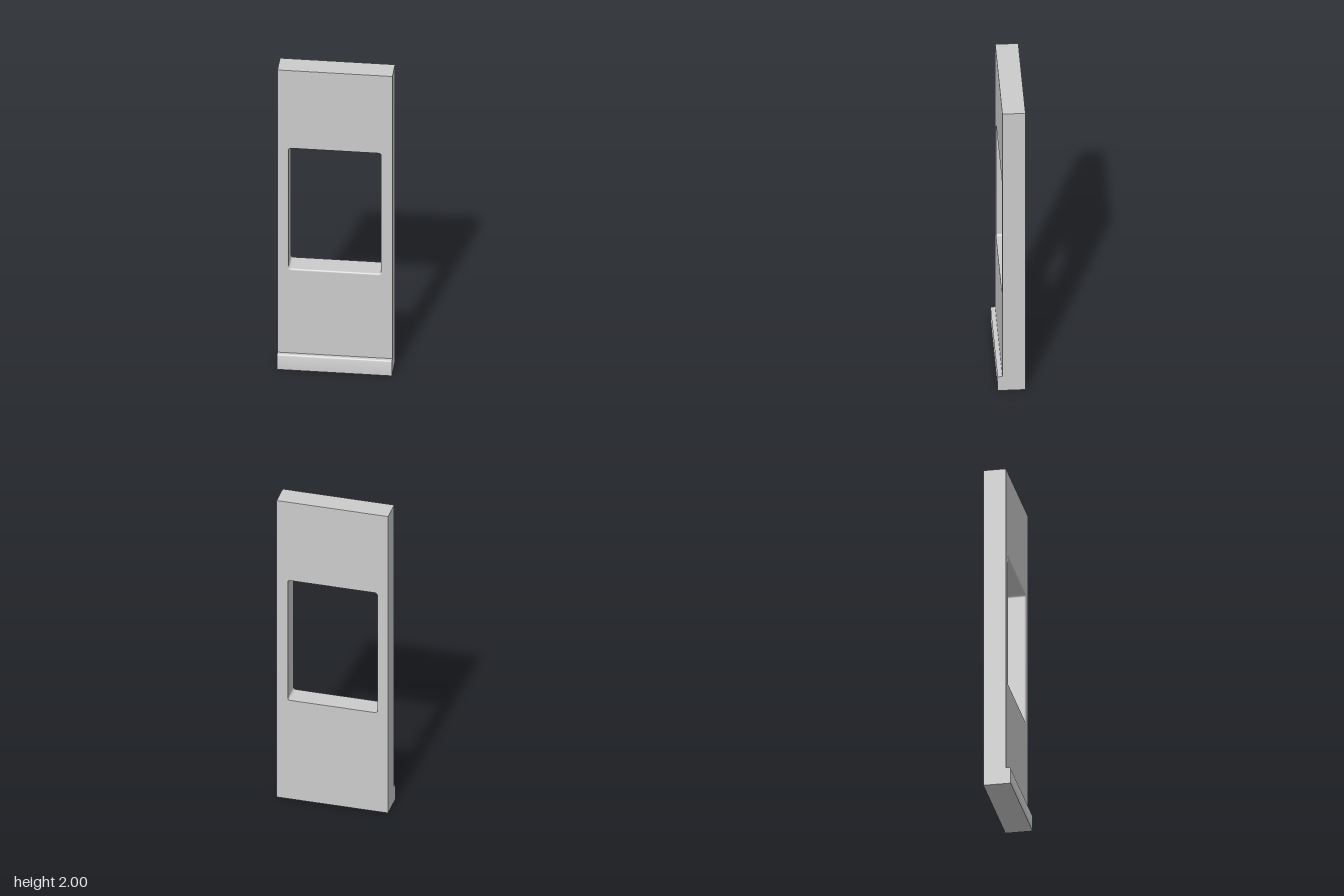
import * as THREE from 'three';
import { toCreasedNormals } from 'three/addons/utils/BufferGeometryUtils.js';

const HALF_W = 0.333, HEIGHT = 2;
const BACK = -0.08, WALL_FRONT = 0.053, FRONT = 0.08;
const OPENING = { x0: -0.269, x1: 0.266, y0: 0.665, y1: 1.473, corner: 0.014 };
const EASE = 0.01;        // radius of the eased front edges
const EASE_STEPS = 5;

// Rounded rectangular outline of the window opening
function openingPath({ x0, x1, y0, y1, corner: r }) {
  const path = new THREE.Path();
  path.absarc(x1 - r, y0 + r, r, -Math.PI / 2, 0, false);
  path.absarc(x1 - r, y1 - r, r, 0, Math.PI / 2, false);
  path.absarc(x0 + r, y1 - r, r, Math.PI / 2, Math.PI, false);
  path.absarc(x0 + r, y0 + r, r, Math.PI, Math.PI * 1.5, false);
  path.closePath();
  return path;
}

// Wall slab whose opening flares out in a quarter round at the front
function wallGeometry() {
  const shape = new THREE.Shape([
    new THREE.Vector2(-HALF_W, 0), new THREE.Vector2(HALF_W, 0),
    new THREE.Vector2(HALF_W, HEIGHT), new THREE.Vector2(-HALF_W, HEIGHT),
  ]);
  shape.holes.push(openingPath(OPENING));
  const layers = EASE_STEPS + 1;
  const geo = new THREE.ExtrudeGeometry(shape, {
    depth: 1, steps: layers, bevelEnabled: false, curveSegments: 6,
  });
  const pos = geo.attributes.position, nor = geo.attributes.normal;
  const { x0, x1, y0, y1, corner: r } = OPENING;
  const p = new THREE.Vector2(), dir = new THREE.Vector2();
  for (let i = 0; i < pos.count; i++) {
    const layer = Math.round(pos.getZ(i) * layers);
    const a = Math.max(0, (layer - 1) / EASE_STEPS) * Math.PI / 2;
    const z = layer === 0 ? BACK : WALL_FRONT - EASE + EASE * Math.sin(a);
    p.set(pos.getX(i), pos.getY(i));
    if (Math.abs(p.x) < 0.3) {
      // Push the opening's edge outward from its corner centres
      dir.set(
        p.x - THREE.MathUtils.clamp(p.x, x0 + r, x1 - r),
        p.y - THREE.MathUtils.clamp(p.y, y0 + r, y1 - r)
      ).normalize();
      p.addScaledVector(dir, EASE * (1 - Math.cos(a)));
      if (Math.abs(nor.getZ(i)) < 0.5) {
        nor.setXYZ(i, -dir.x * Math.cos(a), -dir.y * Math.cos(a), Math.sin(a));
      }
    }
    pos.setXYZ(i, p.x, p.y, z);
  }
  return geo;
}

// Skirting profile with an eased top edge, run across the full width
function skirtingGeometry() {
  const top = 0.1;
  const profile = new THREE.Shape();
  profile.moveTo(WALL_FRONT, 0);
  profile.lineTo(FRONT, 0);
  profile.lineTo(FRONT, top - EASE);
  profile.absarc(FRONT - EASE, top - EASE, EASE, 0, Math.PI / 2, false);
  profile.lineTo(WALL_FRONT, top);
  profile.closePath();
  const geo = new THREE.ExtrudeGeometry(profile, {
    depth: HALF_W * 2, bevelEnabled: false, curveSegments: 6,
  });
  geo.rotateY(-Math.PI / 2).translate(HALF_W, 0, 0);
  return toCreasedNormals(geo, 0.5);
}

export function createModel() {
  const model = new THREE.Group();
  model.name = 'windowWallPanel';
  const material = new THREE.MeshStandardMaterial({ color: 0xcccccc });
  const add = (name, geometry) => {
    const mesh = new THREE.Mesh(geometry, material);
    mesh.name = name;
    model.add(mesh);
  };
  add('wall', wallGeometry());
  add('skirtingBoard', skirtingGeometry());
  return model;
}
